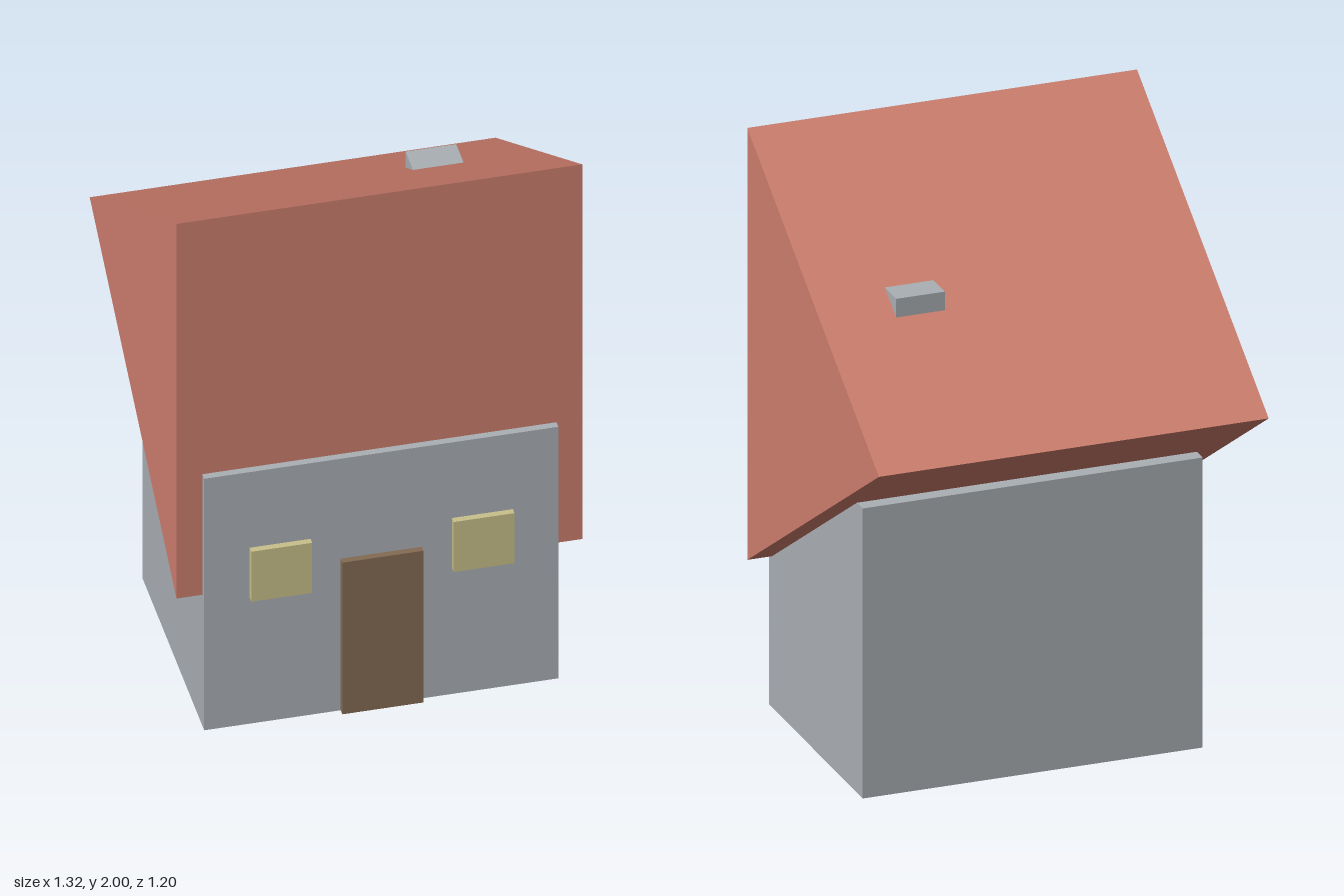
import * as THREE from 'three';

export function createModel() {
  const house = new THREE.Group();
  house.name = 'house';

  const material = (name, color) => {
    const m = new THREE.MeshStandardMaterial({ color });
    m.name = name;
    return m;
  };
  const stone = material('grey stone', 0xaaafb4);
  const tile = material('red roof', 0xcd7e6d);
  const wood = material('brown wood', 0x846b53);
  const glass = material('yellow glass', 0xc8c08a);

  // Box given by its minimum and maximum corners
  const addBox = (name, mat, [x0, y0, z0], [x1, y1, z1]) => {
    const mesh = new THREE.Mesh(new THREE.BoxGeometry(x1 - x0, y1 - y0, z1 - z0), mat);
    mesh.position.set((x0 + x1) / 2, (y0 + y1) / 2, (z0 + z1) / 2);
    mesh.name = name;
    house.add(mesh);
  };

  // Walls and chimney
  addBox('walls', stone, [-0.576, 0, -0.24], [0.576, 0.995, 0.58]);
  addBox('chimney', stone, [0.247, 1.3, -0.11], [0.412, 1.638, 0.05]);

  // Door and a mirrored pair of windows
  addBox('door', wood, [-0.132, 0, 0.575], [0.132, 0.6, 0.602]);
  addBox('leftWindow', glass, [0.23, 0.498, 0.575], [0.428, 0.696, 0.602]);
  addBox('rightWindow', glass, [-0.428, 0.498, 0.575], [-0.23, 0.696, 0.602]);

  // Triangular roof prism, upright at the front, with its ridge pointing back
  const profile = new THREE.Shape([
    new THREE.Vector2(-0.555, 0.518),
    new THREE.Vector2(0.602, 1.259),
    new THREE.Vector2(-0.555, 2),
  ]);
  const width = 1.32;
  const roofGeometry = new THREE.ExtrudeGeometry(profile, { depth: width, bevelEnabled: false });
  roofGeometry.translate(0, 0, -width / 2).rotateY(Math.PI / 2);
  const roof = new THREE.Mesh(roofGeometry, tile);
  roof.name = 'roof';
  house.add(roof);

  return house;
}
